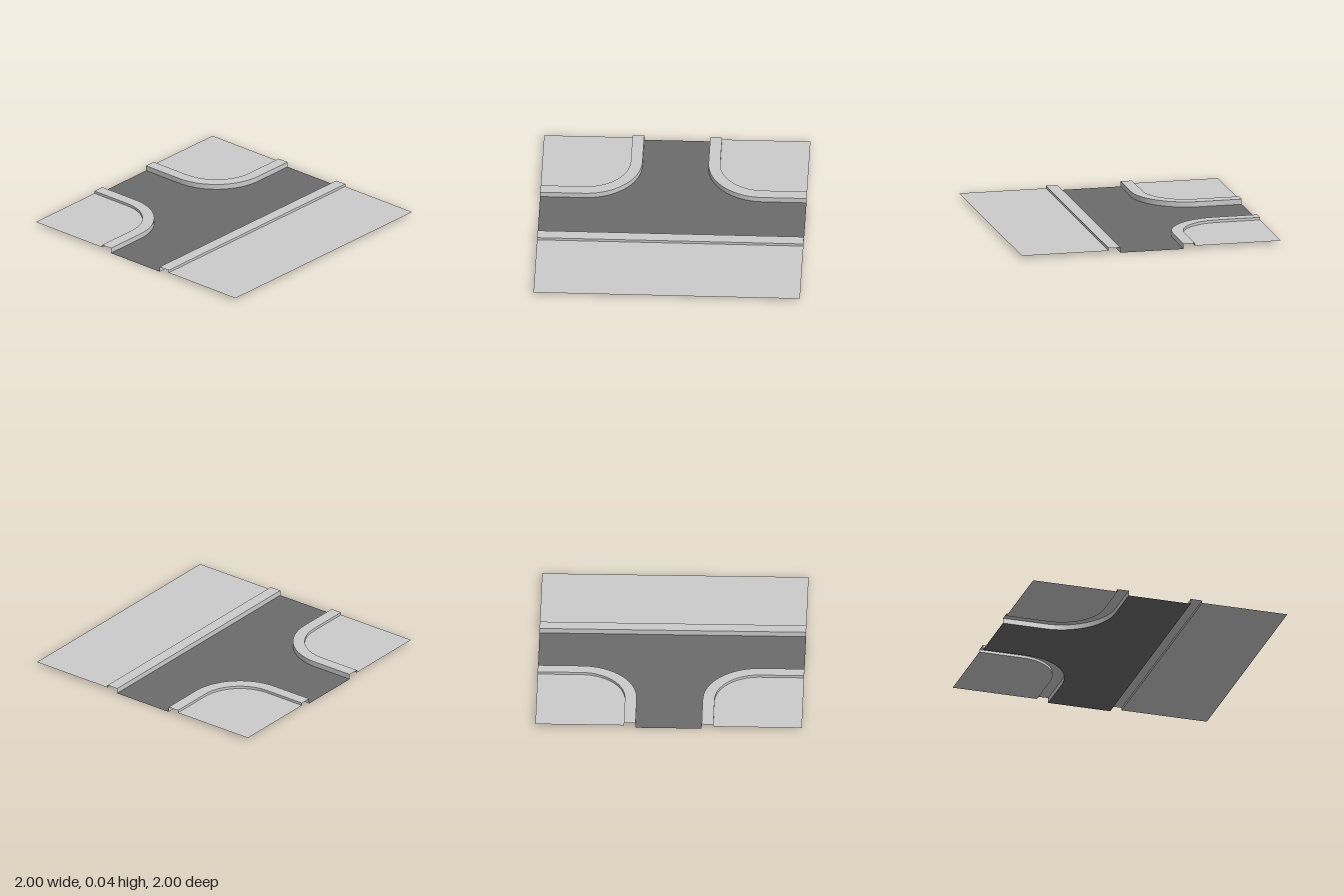
import * as THREE from 'three';

const KERB_TOP = 0.04, PAVEMENT = 0.02;
const ARC = 0.668;                  // distance of the corner arc centres from the axes
const ROAD_EDGE = 0.248, KERB_BACK = 0.336;
const FRONT_EDGE = 0.24, FRONT_BACK = 0.33;

const grey = new THREE.MeshStandardMaterial({ color: 0xcccccc, side: THREE.DoubleSide });
const asphalt = new THREE.MeshStandardMaterial({ color: 0x6c6c6c, side: THREE.DoubleSide });

function addMesh(parent, name, geometry, material) {
  const mesh = new THREE.Mesh(geometry, material);
  mesh.name = name;
  parent.add(mesh);
}

// Outline of one corner in [x, z], running with the road on its right-hand side
function cornerPath(offset, side) {
  const r = ARC - offset, steps = 20;
  const path = [[offset, -1]];
  for (let i = 0; i <= steps; i++) {
    const a = (i / steps) * Math.PI / 2;
    path.push([ARC - r * Math.cos(a), -ARC + r * Math.sin(a)]);
  }
  path.push([1, -offset]);
  return side > 0 ? path : path.map(([x, z]) => [-x, z]).reverse();
}

// Open strip joining two paths at two heights
function ribbon(pathA, yA, pathB, yB) {
  const positions = [], index = [];
  pathA.forEach(([x, z], i) => {
    positions.push(x, yA, z, pathB[i][0], yB, pathB[i][1]);
    if (i < pathA.length - 1) {
      const k = i * 2;
      index.push(k, k + 2, k + 1, k + 1, k + 2, k + 3);
    }
  });
  const g = new THREE.BufferGeometry();
  g.setAttribute('position', new THREE.Float32BufferAttribute(positions, 3));
  g.setIndex(index);
  g.computeVertexNormals();
  return g;
}

// Flat horizontal sheet from an [x, z] outline
function sheet(outline, y) {
  const shape = new THREE.Shape(outline.map(([x, z]) => new THREE.Vector2(x, -z)));
  return new THREE.ShapeGeometry(shape).rotateX(-Math.PI / 2).translate(0, y, 0);
}

// Raised kerb with a road face, a flat top and a lower pavement face
function makeKerb(name, roadPath, backPath) {
  const kerb = new THREE.Group();
  kerb.name = name;
  addMesh(kerb, 'kerbRoadFace', ribbon(roadPath, 0, roadPath, KERB_TOP), grey);
  addMesh(kerb, 'kerbTop', ribbon(roadPath, KERB_TOP, backPath, KERB_TOP), grey);
  addMesh(kerb, 'kerbBackFace', ribbon(backPath, KERB_TOP, backPath, PAVEMENT), grey);
  return kerb;
}

export function createModel() {
  const model = new THREE.Group();
  model.name = 'roadJunction';

  // T-shaped road surface
  addMesh(model, 'road', sheet([
    ...cornerPath(ROAD_EDGE, -1),
    ...cornerPath(ROAD_EDGE, 1),
    [1, FRONT_EDGE], [-1, FRONT_EDGE],
  ], 0), asphalt);

  // Two rounded back corners
  for (const side of [1, -1]) {
    const label = side > 0 ? 'left' : 'right';
    const back = cornerPath(KERB_BACK, side);
    model.add(makeKerb(label + 'CornerKerb', cornerPath(ROAD_EDGE, side), back));
    addMesh(model, label + 'CornerPavement', sheet([...back, [side, -1]], PAVEMENT), grey);
  }

  // Straight front side
  model.add(makeKerb('frontKerb',
    [[1, FRONT_EDGE], [-1, FRONT_EDGE]],
    [[1, FRONT_BACK], [-1, FRONT_BACK]]));
  addMesh(model, 'frontPavement',
    sheet([[-1, FRONT_BACK], [-1, 1], [1, 1], [1, FRONT_BACK]], PAVEMENT), grey);

  return model;
}
